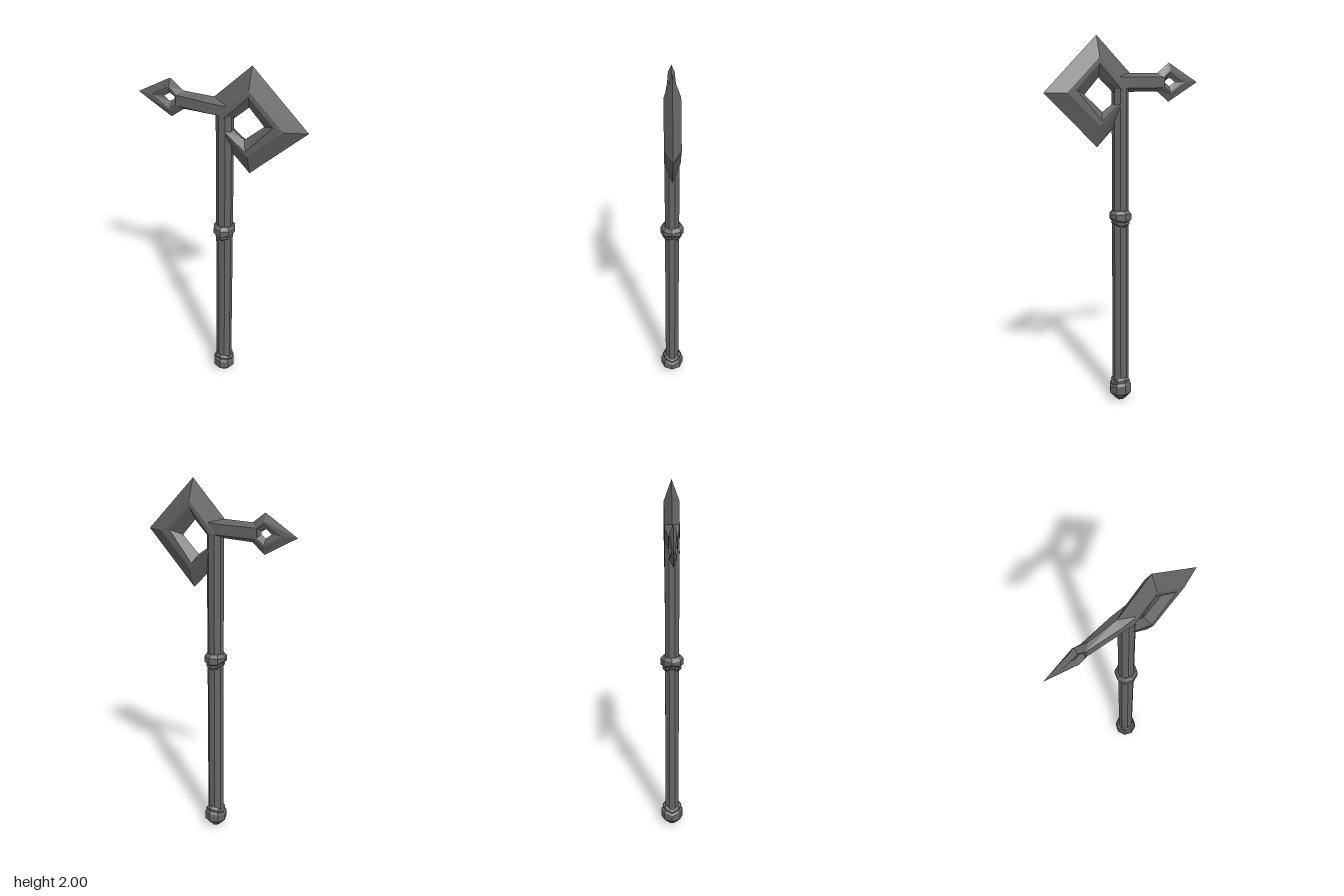
import * as THREE from 'three';

const material = new THREE.MeshStandardMaterial({ color: 0x666666, flatShading: true });
const SHAFT_X = 0.021;

// Skins a row of equal cross-sections; either joins the ends or caps them.
function loft(name, sections, closed = false) {
  const n = sections[0].length, m = sections.length, index = [];
  for (let i = 0; i < (closed ? m : m - 1); i++) {
    const k = (i + 1) % m;
    for (let j = 0; j < n; j++) {
      const l = (j + 1) % n;
      const a = i * n + j, b = k * n + j, c = k * n + l, d = i * n + l;
      index.push(a, b, c, a, c, d);
    }
  }
  if (!closed) {
    const e = (m - 1) * n;
    for (let j = 1; j < n - 1; j++) index.push(0, j, j + 1, e, e + j + 1, e + j);
  }
  const geometry = new THREE.BufferGeometry();
  geometry.setAttribute('position', new THREE.Float32BufferAttribute(sections.flat(2), 3));
  geometry.setIndex(index);
  geometry.computeVertexNormals();
  const mesh = new THREE.Mesh(geometry, material);
  mesh.name = name;
  return mesh;
}

// Bevelled section: sharp outer edge, raised band on both faces, sharp inner edge.
function bevel(outer, ridge, shoulder, inner, z) {
  return [
    [...outer, 0], [...ridge, z], [...shoulder, z],
    [...inner, 0], [...shoulder, -z], [...ridge, -z],
  ];
}

// Eight-sided band; each row is [y, radius, y shift on the front and back].
function band(name, rows) {
  return loft(name, rows.map(([y, r, shift]) => Array.from({ length: 8 }, (_, i) => {
    const a = i * Math.PI / 4;
    return [SHAFT_X + r * Math.cos(a), y + shift * Math.abs(Math.sin(a)), r * Math.sin(a)];
  })));
}

export function createModel() {
  const group = new THREE.Group();

  // Octagonal shaft with flat front
  const shaftGeometry = new THREE.CylinderGeometry(0.0455, 0.0455, 1.67, 8);
  shaftGeometry.rotateY(Math.PI / 8);
  shaftGeometry.scale(1, 1, 0.9);
  const shaft = new THREE.Mesh(shaftGeometry, material);
  shaft.name = 'shaft';
  shaft.position.set(SHAFT_X, 0.915, 0);
  group.add(shaft);

  // Pommel, its rim peaking at front and back
  group.add(band('pommel', [
    [0, 0.022, 0], [0.045, 0.064, 0], [0.08, 0.064, 0.015],
    [0.09, 0.054, 0.02], [0.1, 0.056, 0.025], [0.11, 0.044, 0.03],
  ]));

  // Middle collar, its lower rim dipping at front and back
  group.add(band('collar', [
    [1.022, 0.044, -0.022], [1.032, 0.052, -0.02], [1.04, 0.05, -0.015],
    [1.055, 0.062, -0.02], [1.068, 0.062, 0.005], [1.09, 0.046, 0],
  ]));

  // Open diamond blade, running from under the shaft joint round to its top
  group.add(loft('blade', [
    bevel([0.03, 1.56], [0.03, 1.655], [0.03, 1.66], [0.045, 1.67], 0.04),
    bevel([0.156, 1.433], [0.156, 1.545], [0.145, 1.57], [0.125, 1.614], 0.04),
    bevel([0.447, 1.715], [0.335, 1.715], [0.285, 1.73], [0.225, 1.704], 0.04),
    bevel([0.156, 2.0], [0.156, 1.89], [0.156, 1.86], [0.146, 1.79], 0.04),
    bevel([-0.035, 1.812], [0.0, 1.735], [0.03, 1.725], [0.05, 1.7], 0.04),
  ]));

  // Tapering arm to the back spike
  group.add(loft('spikeArm', [[0.04, 0.038], [-0.04, 0.037], [-0.235, 0.021]].map(([x, z]) => [
    [x, 1.812, 0], [x, 1.79, z], [x, 1.735, z], [x, 1.715, 0], [x, 1.735, -z], [x, 1.79, -z],
  ])));

  // Pierced arrow-shaped spike
  group.add(loft('spike', [
    bevel([-0.45, 1.763], [-0.375, 1.763], [-0.36, 1.763], [-0.308, 1.765], 0.009),
    bevel([-0.27, 1.66], [-0.273, 1.7], [-0.274, 1.71], [-0.276, 1.742], 0.017),
    bevel([-0.2, 1.715], [-0.226, 1.735], [-0.232, 1.74], [-0.25, 1.758], 0.022),
    bevel([-0.2, 1.812], [-0.226, 1.79], [-0.232, 1.787], [-0.25, 1.772], 0.022),
    bevel([-0.27, 1.866], [-0.273, 1.826], [-0.274, 1.816], [-0.276, 1.787], 0.017),
  ], true));

  return group;
}
